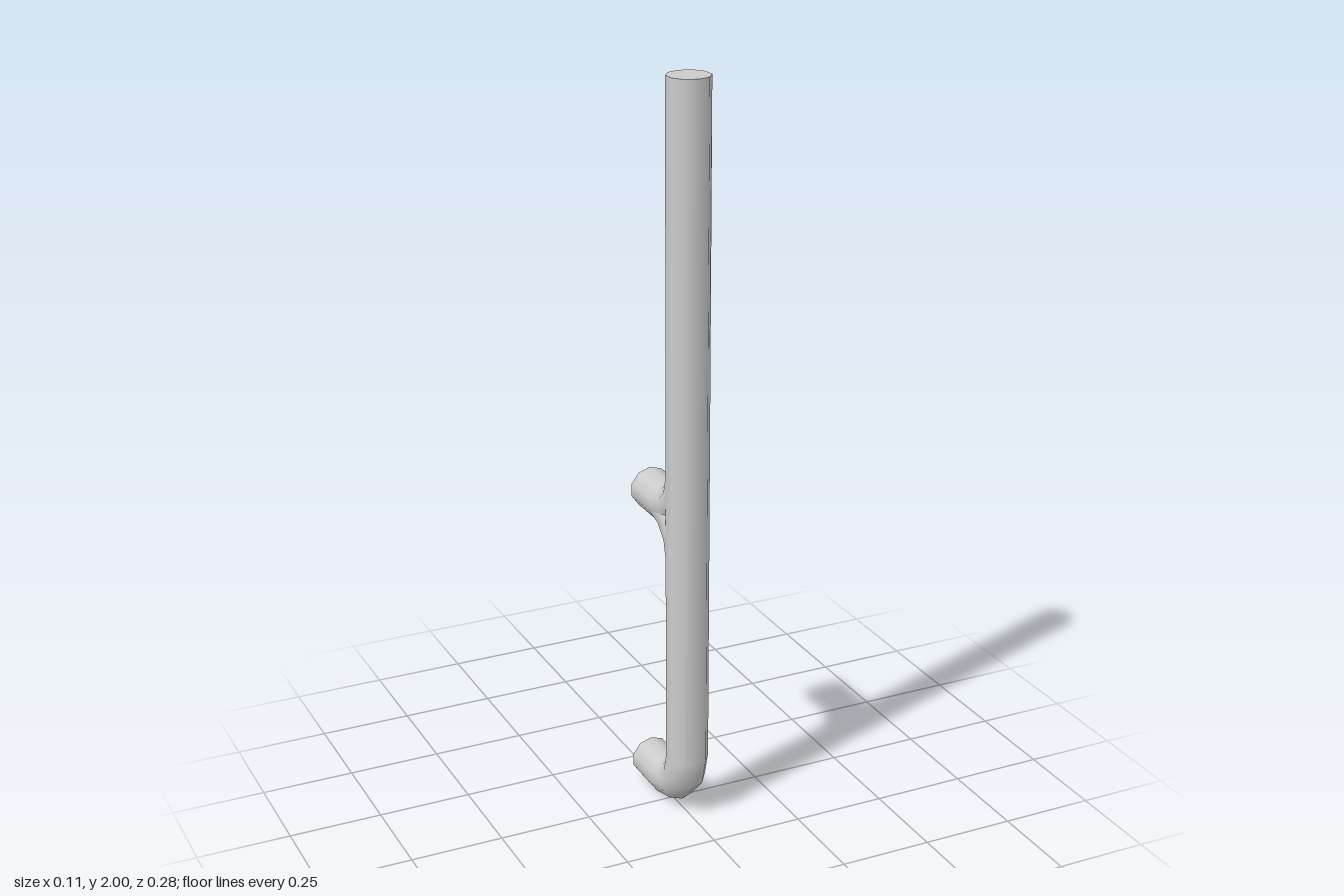
import * as THREE from 'three';

const RADIUS = 0.0565, SIDES = 10, BEND = 0.1155;
const POST_Z = 0.085, BACK_Z = -0.141, BEND_Z = POST_Z - BEND;

// Rings of a pipe that runs along the post and bends to the back.
// dir 1 comes from above, dir -1 from below; axisY is the height of the back run.
function bentPath(axisY, dir, startY, endZ) {
  const centreY = axisY + dir * BEND;
  const rings = [];
  if (startY !== undefined) rings.push({ y: startY, z: POST_Z, a: 0 });
  for (let i = 0; i <= 3; i++) {
    const a = (i / 3) * Math.PI / 2;
    rings.push({ y: centreY - dir * BEND * Math.sin(a), z: BEND_Z + BEND * Math.cos(a), a });
  }
  if (endZ !== undefined) rings.push({ y: axisY, z: endZ, a: Math.PI / 2 });
  return rings;
}

// Skins the rings with smooth sides and closes both ends with flat caps.
function pipeGeometry(rings, dir) {
  const pos = [], nor = [], idx = [];
  const ringPoint = (ring, j) => {
    const t = (j / SIDES) * Math.PI * 2, c = Math.cos(t);
    const n = [dir * Math.sin(t), -dir * Math.sin(ring.a) * c, Math.cos(ring.a) * c];
    return { n, p: [n[0] * RADIUS, ring.y + n[1] * RADIUS, ring.z + n[2] * RADIUS] };
  };
  rings.forEach((ring, i) => {
    for (let j = 0; j < SIDES; j++) {
      const { n, p } = ringPoint(ring, j);
      pos.push(...p);
      nor.push(...n);
      if (i === rings.length - 1) continue;
      const a = i * SIDES + j, c = i * SIDES + (j + 1) % SIDES;
      idx.push(a, a + SIDES, c, c, a + SIDES, c + SIDES);
    }
  });
  for (const [ring, s] of [[rings[0], -1], [rings[rings.length - 1], 1]]) {
    const base = pos.length / 3;
    const n = [0, -s * dir * Math.cos(ring.a), -s * Math.sin(ring.a)];
    for (let j = 0; j < SIDES; j++) {
      pos.push(...ringPoint(ring, j).p);
      nor.push(...n);
      if (j < 2) continue;
      if (s < 0) idx.push(base, base + j - 1, base + j);
      else idx.push(base, base + j, base + j - 1);
    }
  }
  const g = new THREE.BufferGeometry();
  g.setAttribute('position', new THREE.Float32BufferAttribute(pos, 3));
  g.setAttribute('normal', new THREE.Float32BufferAttribute(nor, 3));
  g.setIndex(idx);
  return g;
}

export function createModel() {
  const model = new THREE.Group();
  model.name = 'handlePipe';
  const material = new THREE.MeshStandardMaterial({ color: 0xcccccc });
  const add = (name, rings, dir) => {
    const mesh = new THREE.Mesh(pipeGeometry(rings, dir), material);
    mesh.name = name;
    model.add(mesh);
  };

  // Tall post that bends to the back at its foot
  add('post', bentPath(RADIUS, 1, 2, BACK_Z), 1);

  // Middle branch: two opposed elbows blend the back stub into the post
  const branchY = 0.86;
  add('branchUpperElbow', bentPath(branchY, 1, undefined, BACK_Z), 1);
  add('branchLowerElbow', bentPath(branchY, -1), -1);
  return model;
}
